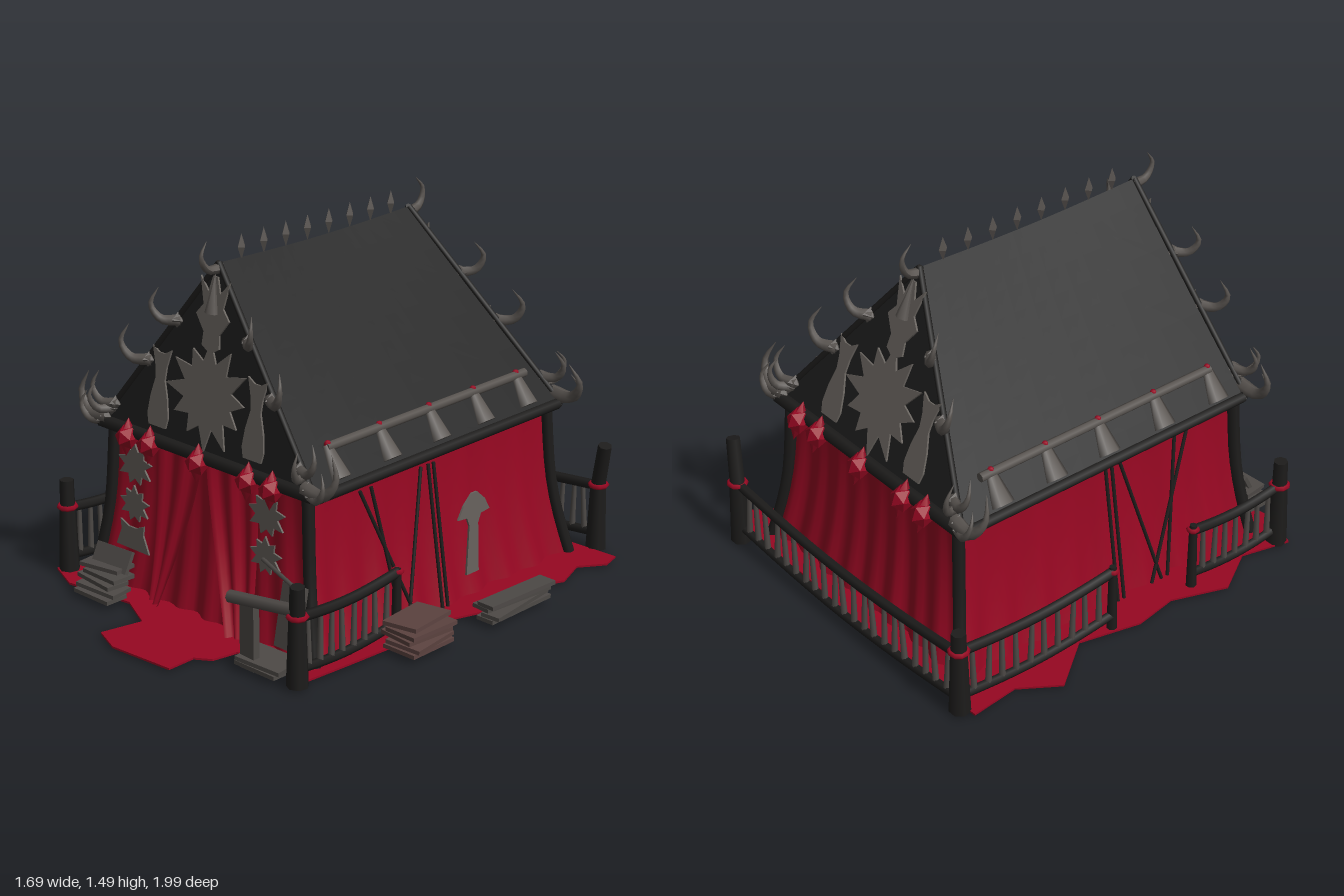
import * as THREE from 'three';
import { ParametricGeometry } from 'three/addons/geometries/ParametricGeometry.js';

const paint = (name, color, side = THREE.FrontSide) => {
  const m = new THREE.MeshStandardMaterial({ color, side });
  m.name = name;
  return m;
};
const V = (x, y, z) => new THREE.Vector3(x, y, z);
const lerp = THREE.MathUtils.lerp;

export function createModel() {
  const red = paint('red cloth', 0x970722, THREE.DoubleSide);
  const black = paint('black roof cloth', 0x1f1f1f, THREE.DoubleSide);
  const timber = paint('black timber', 0x1d1c1b);
  const bone = paint('grey bone', 0x58534f);
  const plate = paint('grey plate', 0x68635e);
  const wood = paint('weathered wood', 0x4d4946);
  const reddishWood = paint('reddish wood', 0x5c4340);
  const earth = paint('brown floor', 0x6a2e27);

  const root = new THREE.Group();
  root.name = 'tent';
  const group = (name, parent = root) => {
    const g = new THREE.Group();
    g.name = name;
    parent.add(g);
    return g;
  };
  const add = (name, geo, mat, parent = root, x = 0, y = 0, z = 0) => {
    const m = new THREE.Mesh(geo, mat);
    m.name = name;
    m.position.set(x, y, z);
    parent.add(m);
    return m;
  };
  const surface = (name, fn, mat, nu, nv, parent) =>
    add(name, new ParametricGeometry((u, v, t) => t.set(...fn(u, v)), nu, nv), mat, parent);
  // round bar from a to b
  const beam = (name, a, b, r, mat, parent, rTop = r) => {
    const m = add(name, new THREE.CylinderGeometry(rTop, r, a.distanceTo(b), 7), mat, parent);
    m.position.copy(a).lerp(b, 0.5);
    m.quaternion.setFromUnitVectors(V(0, 1, 0), b.clone().sub(a).normalize());
    return m;
  };
  // tapered horn that leaves along dir and curls up
  const horn = (parent, base, dir, s) => {
    const d = dir.clone().normalize();
    const pts = [[-0.1, 0], [0.5, -0.02], [0.85, 0.42], [0.65, 0.95]].map(
      ([o, h]) => base.clone().addScaledVector(d, o * s).add(V(0, h * s, 0)));
    const curve = new THREE.CatmullRomCurve3(pts);
    const n = 10, geo = new THREE.TubeGeometry(curve, n, s * 0.18, 6);
    const p = geo.attributes.position, q = V(0, 0, 0);
    for (let i = 0; i < p.count; i++) {
      const t = Math.floor(i / 7) / n;
      q.fromBufferAttribute(p, i).lerp(curve.getPointAt(t), 0.97 * t ** 1.4);
      p.setXYZ(i, q.x, q.y, q.z);
    }
    geo.computeVertexNormals();
    add('horn', geo, bone, parent);
  };
  const thin = (shape) => new THREE.ExtrudeGeometry(shape, { depth: 0.008, bevelEnabled: false });
  const star = (n, R, r) => {
    const pts = [];
    for (let i = 0; i < 2 * n; i++) {
      const a = Math.PI / 2 + (i * Math.PI) / n;
      const k = i % 2 ? r : R * (1 + 0.1 * Math.sin(i * 2.3));
      pts.push(new THREE.Vector2(k * Math.cos(a), k * Math.sin(a)));
    }
    return thin(new THREE.Shape(pts));
  };
  const mirrored = (half) => thin(new THREE.Shape([
    ...half, ...half.slice().reverse().map(([x, y]) => [-x, y]),
  ].map(([x, y]) => new THREE.Vector2(x, y))));

  // ground cloth with a ragged edge and a tongue at the door
  const edge = [[-0.76, -0.9], [-0.3, -0.92], [0.3, -0.9], [0.76, -0.92], [0.78, -0.84], [0.71, -0.74],
    [0.76, -0.6], [0.69, -0.45], [0.73, -0.2], [0.66, 0], [0.68, 0.2], [0.66, 0.5], [0.64, 0.74],
    [0.4, 0.68], [0.3, 0.72], [0.28, 0.82], [0.22, 0.86], [0.22, 0.98], [-0.06, 1], [-0.18, 0.95],
    [-0.14, 0.78], [-0.3, 0.7], [-0.6, 0.74], [-0.74, 0.68], [-0.69, 0.48], [-0.8, 0.3], [-0.72, 0.08],
    [-0.75, -0.1], [-0.69, -0.35], [-0.84, -0.55], [-0.74, -0.7]];
  const cloth = thin(new THREE.Shape(edge.map(([x, z]) => new THREE.Vector2(x, -z))));
  add('groundCloth', cloth, red, root, 0, 0.009, 0).rotation.x = -Math.PI / 2;
  add('floor', new THREE.BoxGeometry(1, 0.008, 1.05), earth, root, -0.08, 0.004, -0.25);

  // flared, rippled walls
  const flare = (v) => (1 - v) ** 2;
  const wx = (v) => 0.5 + 0.08 * flare(v);
  const wf = (v) => 0.55 + 0.05 * flare(v);
  const wb = (v) => -0.75 - 0.07 * flare(v);
  const ripple = (u, v) => 0.01 * (1.2 - v) * (Math.sin(u * 52) + 0.6 * Math.sin(u * 23 + 1));
  const wy = (v) => 0.015 + 0.635 * v;
  const walls = group('walls');
  surface('leftWall', (u, v) => [wx(v) + ripple(u, v), wy(v), lerp(wf(v), wb(v), u)], red, 48, 8, walls);
  surface('rightWall', (u, v) => [-wx(v) - ripple(u, v), wy(v), lerp(wb(v), wf(v), u)], red, 48, 8, walls);
  surface('frontWall', (u, v) => [lerp(-wx(v), wx(v), u), wy(v), wf(v) + ripple(u, v)], red, 48, 8, walls);
  surface('backWall', (u, v) => [lerp(wx(v), -wx(v), u), wy(v), wb(v) - ripple(u, v)], red, 48, 8, walls);
  for (const s of [-1, 1]) {
    surface('doorFlap', (u, v) => {
      const inner = 0.01 + 0.18 * (1 - v) ** 1.3;
      return [s * lerp(0.27, inner, u), wy(v) - 0.01, wf(v) + 0.02 + 0.04 * u * (1 - v) + 0.012 * Math.sin(u * 14)];
    }, red, 14, 8, walls);
    // corner timbers follow the flare of the walls
    for (const zf of [wf, wb]) {
      const c = new THREE.CatmullRomCurve3([0, 0.25, 0.5, 1].map((v) => V(s * wx(v) * 1.02, wy(v), zf(v) * 1.02)));
      add('cornerPost', new THREE.TubeGeometry(c, 8, 0.024, 7), timber, walls);
    }
    // loose poles leaning on the side walls
    for (const [z0, z1] of [[0.08, 0.31], [0.16, 0.25], [0.13, -0.02], [-0.06, -0.06], [-0.09, -0.09]])
      beam('leaningPole', V(s * 0.61, 0.03, z0), V(s * 0.525, 0.59, z1), 0.007, timber, walls);
  }
  const arrow = mirrored([[0.035, 0], [0.03, 0.1], [0.025, 0.2], [0.04, 0.235], [0.09, 0.24], [0.06, 0.29], [0.015, 0.33]]);
  add('arrowPlate', arrow, plate, walls, 0.585, 0.11, -0.25).rotation.y = Math.PI / 2;

  // roof
  const eaveY = 0.64, rise = 0.74;
  const rx = (v) => 0.57 * (1 - v) - 0.006 * Math.sin(Math.PI * v);
  const rf = (v) => 0.58 - 0.09 * v, rb = (v) => -0.79 + 0.27 * v;
  const ry = (u, v) => eaveY + rise * v - 0.012 * Math.sin(Math.PI * u) * v;
  const roof = group('roof');
  for (const s of [-1, 1]) {
    surface('roofSlope', (u, v) => [s * rx(v), ry(u, v), s > 0 ? lerp(rf(v), rb(v), u) : lerp(rb(v), rf(v), u)],
      black, 12, 10, roof);
    beam('sideEave', V(s * 0.555, 0.645, 0.57), V(s * 0.555, 0.645, -0.78), 0.022, timber, roof);
    // pole with flared claw brackets
    beam('eavePole', V(s * 0.49, 0.79, 0.45), V(s * 0.49, 0.79, -0.65), 0.018, bone, roof);
    for (const z of [0.44, 0.17, -0.1, -0.35, -0.6]) {
      const claw = add('clawBracket', new THREE.CylinderGeometry(0.022, 0.05, 0.13, 6), bone, roof, s * 0.523, 0.742, z);
      claw.rotation.z = s * 0.6;
      claw.scale.x = 0.5;
      add('clawTie', new THREE.SphereGeometry(0.014, 6, 5), red, roof, s * 0.488, 0.8, z);
    }
  }
  add('soffit', new THREE.BoxGeometry(1.08, 0.02, 1.33), timber, roof, 0, 0.64, -0.105);
  for (let i = 0; i < 8; i++) {
    const z = 0.38 - i * 0.114;
    add('ridgeSpike', new THREE.OctahedronGeometry(0.05), bone, roof, 0, 1.415, z).scale.set(0.35, 1, 0.38);
  }

  // both gables share one layout, drawn flat and tilted into place
  const emblem = mirrored([[0.045, -0.15], [0.055, -0.11], [0.045, -0.04], [0.025, 0.03], [0.03, 0.08], [0.05, 0.15], [0.015, 0.13]]);
  const crest = mirrored([[0.01, -0.13], [0.045, -0.11], [0.04, -0.06], [0.085, 0], [0.05, 0.04], [0.075, 0.14], [0.03, 0.09], [0.012, 0.15]]);
  const gable = (name, zBase, lean, turn) => {
    const g = group(name, roof);
    g.rotation.order = 'YXZ';
    g.rotation.set(-Math.atan(lean / rise), turn, 0);
    g.scale.y = Math.hypot(lean, rise) / rise;
    g.position.set(0, eaveY, zBase);
    surface('gableCloth', (u, v) => [lerp(-rx(v), rx(v), u), rise * v, 0], black, 8, 10, g);
    beam('gableEave', V(-0.56, 0.015, 0.005), V(0.56, 0.015, 0.005), 0.025, timber, g);
    add('largeStar', star(12, 0.2, 0.125), plate, g, 0, 0.25, 0.004);
    add('crestPlate', crest, plate, g, 0, 0.54, 0.006);
    add('crestBoss', new THREE.ConeGeometry(0.03, 0.15, 6), bone, g, 0, 0.63, 0.015);
    horn(g, V(0, 0.72, 0), V(0, 0, 1), 0.11);
    for (const s of [-1, 1]) {
      add('sideEmblem', emblem, plate, g, s * 0.25, 0.22, 0.004);
      beam('rakeTimber', V(s * 0.56, 0.015, 0), V(0, rise, 0), 0.012, timber, g);
      // horns up the rake, clustered at the corner
      for (const [h, len, dx, dz] of [[0.49, 0.12, 0.8, 0.7], [0.31, 0.13, 0.8, 0.5], [0.1, 0.12, 0.9, 0.3],
        [0.08, 0.11, 0.3, 0.7], [0.02, 0.11, 1, 0.4], [0.04, 0.16, 1, 0.05]]) {
        const x = s * (rx(h / rise) - 0.005);
        horn(g, V(x, h, 0.01), V(s * dx, 0, dz), len);
        add('hornTuft', new THREE.OctahedronGeometry(0.03), bone, g, x, h, 0.01);
      }
    }
    // red knots with a hanging tail
    for (const x of [-0.39, -0.27, -0.01, 0.25, 0.37]) {
      add('knot', new THREE.IcosahedronGeometry(0.048), red, g, x, -0.005, 0.025);
      add('knotTail', new THREE.ConeGeometry(0.036, 0.07, 5), red, g, x, -0.045, 0.025).rotation.x = Math.PI;
      add('knotTop', new THREE.ConeGeometry(0.032, 0.06, 5), red, g, x, 0.04, 0.025);
    }
  };
  gable('frontGable', 0.582, 0.09, 0);
  gable('backGable', -0.792, 0.27, Math.PI);

  // star plates hung beside the door, with a skirt plate under the right row
  for (const s of [-1, 1])
    for (const [y, R] of [[0.53, 0.09], [0.37, 0.078]])
      add('wallStar', star(9, R, R * 0.62), plate, root, s * 0.35 - 0.015, y, 0.59 + 0.04 * (0.53 - y));
  add('skirtPlate', mirrored([[0.09, -0.05], [0.06, 0.02], [0.065, 0.06], [0.02, 0.04]]), plate, root, -0.365, 0.24, 0.61);

  // fence posts and rails
  const fence = group('fence');
  for (const [x, z, h, lx, lz] of [[-0.7, -0.92, 0.36, 0, 0], [0.64, -0.95, 0.46, 0.04, 0.02], [-0.7, 0.65, 0.39, 0, 0],
    [0.64, 0.75, 0.4, 0.01, 0.01], [-0.7, 0.2, 0.3, 0, 0], [0.63, 0.22, 0.29, 0, 0], [-0.7, -0.2, 0.3, 0, 0]]) {
    const k = h > 0.35 ? 1 : 0.5;
    const mid = V(x, 0.28, z);
    beam('post', V(x, 0.01, z), mid, 0.042 * k, timber, fence, 0.032 * k);
    beam('postTop', mid, V(x + lx, h, z + lz), 0.03 * k, timber, fence, 0.028 * k);
    add('postWrap', new THREE.TorusGeometry(0.032 * k, 0.011, 5, 9), red, fence, x, 0.28, z).rotation.x = Math.PI / 2;
  }
  const railing = (a, b, n, sag) => {
    const at = (t, y) => V(lerp(a[0], b[0], t), y - sag * Math.sin(Math.PI * t), lerp(a[1], b[1], t));
    for (const [y, r] of [[0.275, 0.02], [0.075, 0.018]]) {
      const c = new THREE.CatmullRomCurve3([0, 0.25, 0.5, 0.75, 1].map((t) => at(t, y)));
      add('rail', new THREE.TubeGeometry(c, 12, r, 6), timber, fence);
    }
    for (let i = 1; i < n; i++)
      beam('baluster', at(i / n, 0.07), at(i / n + 0.012 * Math.sin(i * 4.1), 0.27), 0.013, wood, fence, 0.009);
  };
  railing([-0.7, -0.93], [0.64, -0.95], 22, 0.04);
  railing([-0.7, -0.92], [-0.7, -0.2], 11, 0.025);
  railing([-0.7, 0.2], [-0.7, 0.65], 8, 0.02);
  railing([0.63, 0.22], [0.64, 0.75], 9, 0.02);

  // plank stacks
  const stack = (name, x, z, w, d, n, step, skew, mat = wood) => {
    const g = group(name);
    for (let i = 0; i < n; i++) {
      const p = add('plank', new THREE.BoxGeometry(w, 0.016, d), mat, g,
        x + 0.012 * Math.sin(i * 2.7), 0.03 + i * step, z - i * skew);
      p.rotation.set(0.04 * Math.sin(i * 3), 0.12 * Math.sin(i * 1.9), 0.05 * Math.sin(i * 5));
    }
  };
  stack('frontSteps', -0.42, 0.74, 0.19, 0.1, 5, 0.025, 0.012);
  const tilted = add('tiltedBoard', new THREE.BoxGeometry(0.19, 0.09, 0.016), wood, root, -0.41, 0.16, 0.68);
  tilted.rotation.set(-0.5, 0, 0.04);
  stack('sidePlanks', 0.74, 0.22, 0.15, 0.22, 5, 0.024, 0, reddishWood);
  stack('longPlanks', 0.79, -0.26, 0.08, 0.34, 4, 0.02, 0);
  stack('cornerPlanks', 0.47, 0.73, 0.2, 0.14, 2, 0.02, 0);
  // rough barrier beside the door
  const barrier = group('barrier');
  beam('crossRail', V(0.33, 0.27, 0.78), V(0.64, 0.3, 0.75), 0.024, wood, barrier);
  beam('thinRail', V(0.38, 0.39, 0.66), V(0.64, 0.38, 0.75), 0.008, wood, barrier);
  add('upright', new THREE.BoxGeometry(0.07, 0.26, 0.03), wood, barrier, 0.42, 0.14, 0.77);
  add('backBoard', new THREE.BoxGeometry(0.11, 0.24, 0.02), wood, barrier, 0.54, 0.22, 0.68).rotation.x = -0.2;
  return root;
}
